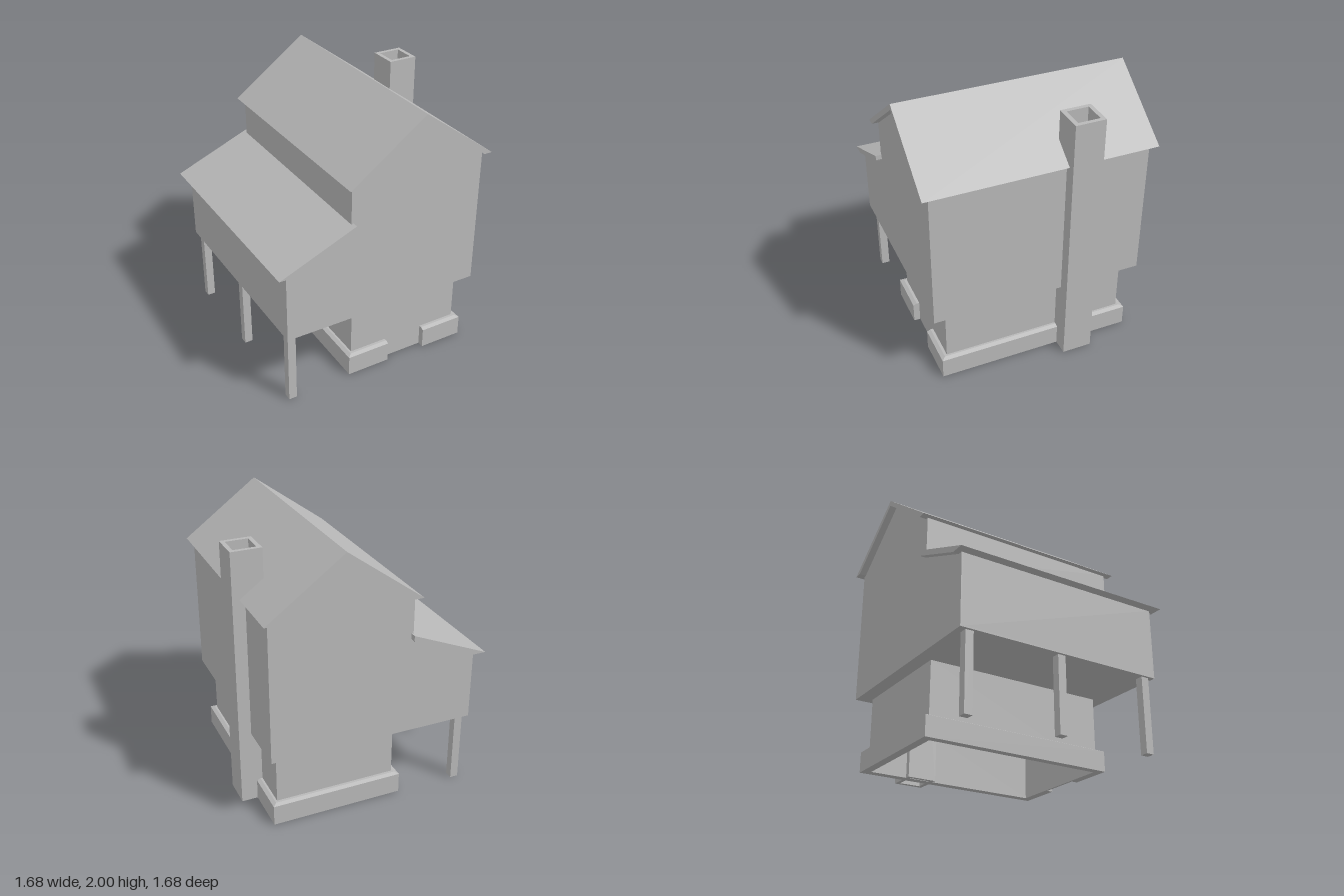
import * as THREE from 'three';

const grey = new THREE.MeshStandardMaterial({ color: 0xb8b8b8 });

export function createModel() {
  const house = new THREE.Group();
  house.name = 'house';

  const add = (name, geometry) => {
    const mesh = new THREE.Mesh(geometry, grey);
    mesh.name = name;
    house.add(mesh);
    return mesh;
  };

  // box given by its minimum and maximum on each axis
  const box = (name, x0, x1, y0, y1, z0, z1) => {
    const mesh = add(name, new THREE.BoxGeometry(x1 - x0, y1 - y0, z1 - z0));
    mesh.position.set((x0 + x1) / 2, (y0 + y1) / 2, (z0 + z1) / 2);
  };

  const outline = (points) => new THREE.Shape(points.map(([x, y]) => new THREE.Vector2(x, y)));
  const extrude = (shape, depth) => new THREE.ExtrudeGeometry(shape, { depth, bevelEnabled: false });

  // front-view profile extruded from z0 to z1
  const slab = (name, points, z0, z1) => {
    add(name, extrude(outline(points), z1 - z0)).position.z = z0;
  };

  // rectangular tube or plate with a rectangular opening, standing upright
  const rect = (x0, x1, z0, z1) => [[x0, -z1], [x1, -z1], [x1, -z0], [x0, -z0]];
  const frame = (name, outer, inner, y0, y1) => {
    const shape = outline(rect(...outer));
    shape.holes.push(outline(rect(...inner).reverse()));
    add(name, extrude(shape, y1 - y0).rotateX(-Math.PI / 2).translate(0, y0, 0));
  };

  // ground floor, open underneath, and the overhanging floor above
  const inside = [-0.195, 0.66, -0.67, 0.67];
  frame('lowerWalls', [-0.21, 0.68, -0.685, 0.685], inside, 0, 0.56);
  frame('upperFloor', [-0.77, 0.75, -0.79, 0.79], inside, 0.555, 0.57);

  // upper storey with side lean-to
  const gable = [[-0.77, 0.555], [0.75, 0.555], [0.75, 1.585], [0.235, 1.965],
    [-0.285, 1.585], [-0.285, 1.29], [-0.77, 1.085]];
  slab('frontGable', gable, 0.775, 0.79);
  slab('backGable', gable, -0.79, -0.775);
  box('leftWall', 0.735, 0.75, 0.555, 1.6, -0.79, 0.79);
  box('leanToWall', -0.77, -0.755, 0.555, 1.085, -0.79, 0.79);
  box('upperRightWall', -0.285, -0.27, 1.28, 1.6, -0.79, 0.79);

  // roofs
  slab('mainRoof', [[-0.325, 1.592], [-0.262, 1.592], [0.235, 1.957], [0.728, 1.592],
    [0.79, 1.592], [0.235, 2]], -0.842, 0.842);
  slab('leanToRoof', [[-0.84, 1.08], [-0.735, 1.08], [-0.275, 1.274], [-0.27, 1.285],
    [-0.27, 1.32]], -0.834, 0.834);

  // chimney with open flue
  frame('chimney', [0.62, 0.84, -0.39, -0.17], [0.65, 0.81, -0.36, -0.2], 0, 1.93);
  box('flueDamper', 0.65, 0.81, 0.9, 0.92, -0.36, -0.2);

  // posts under the lean-to
  for (const z of [-0.71, 0, 0.72]) box('post', -0.75, -0.69, 0, 0.56, z - 0.03, z + 0.03);

  // sloped-top plinth, mitred at the corners and open at the front doorway
  const plinth = (x, z, angle, length, mitreStart, mitreEnd) => {
    const geometry = extrude(outline([[-0.005, 0], [0.042, 0], [0.042, 0.15], [0.015, 0.162],
      [-0.005, 0.162]]), length);
    const p = geometry.attributes.position;
    for (let i = 0; i < p.count; i++) {
      const atStart = p.getZ(i) < length / 2;
      if (atStart && mitreStart) p.setZ(i, -p.getX(i));
      if (!atStart && mitreEnd) p.setZ(i, length + p.getX(i));
    }
    geometry.computeVertexNormals();
    const mesh = add('plinth', geometry);
    mesh.position.set(x, 0, z);
    mesh.rotation.y = angle;
  };
  plinth(0.68, 0.69, -Math.PI / 2, 0.29, true, false);
  plinth(0.08, 0.69, -Math.PI / 2, 0.29, false, true);
  plinth(0.68, -0.69, 0, 1.38, true, true);
  plinth(-0.21, -0.69, Math.PI / 2, 0.89, true, true);
  plinth(-0.21, 0.69, Math.PI, 1.38, true, true);

  return house;
}
